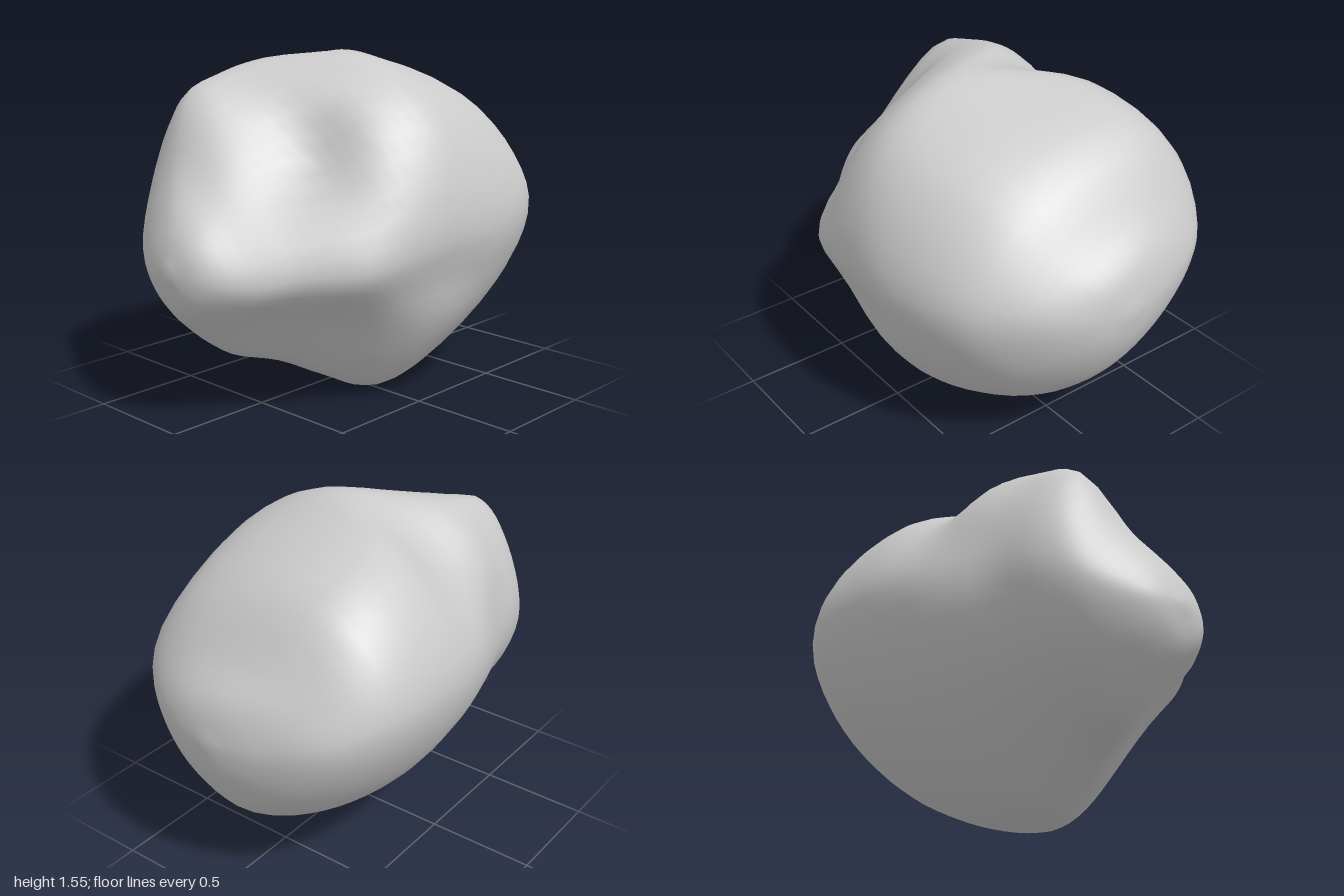
import * as THREE from 'three';
import { mergeVertices } from 'three/addons/utils/BufferGeometryUtils.js';

const AROUND = 48, ALONG = 44;

// One ring at depth z: a smooth loop through four extreme points and a shoulder
// between each pair. Fullness 0.5 is a straight diagonal, 0.7 a round shoulder.
function ring(z, right, top, left, bottom, upperRight, lowerRight) {
  const shoulder = (side, cap, fullness) => [
    cap[0] + (side[0] - cap[0]) * fullness,
    side[1] + (cap[1] - side[1]) * fullness
  ];
  const loop = [
    right, shoulder(right, top, upperRight),
    top, shoulder(left, top, 0.67),
    left, shoulder(left, bottom, 0.65),
    bottom, shoulder(right, bottom, lowerRight)
  ];
  const curve = new THREE.CatmullRomCurve3(loop.map(([x, y]) => new THREE.Vector3(x, y, z)), true);
  return Array.from({ length: AROUND }, (_, i) => curve.getPoint(i / AROUND));
}

const tip = (x, y, z) => Array.from({ length: AROUND }, () => new THREE.Vector3(x, y, z));

// rings from the back tip to the front tip
function boulderRings() {
  return [
    tip(-0.02, 0.79, -1),
    ring(-0.96, [0.2, 0.81], [-0.06, 0.97], [-0.25, 0.81], [-0.02, 0.61], 0.7, 0.7),
    ring(-0.84, [0.42, 0.84], [-0.2, 1.12], [-0.54, 0.87], [0, 0.4], 0.7, 0.68),
    ring(-0.63, [0.62, 0.85], [-0.32, 1.38], [-0.69, 0.92], [0.08, 0.21], 0.71, 0.66),
    ring(-0.25, [0.72, 0.82], [-0.28, 1.5], [-0.72, 0.91], [0.16, 0.04], 0.75, 0.65),
    ring(0.02, [0.71, 0.8], [0.06, 1.545], [-0.69, 0.92], [0.19, 0], 0.71, 0.64),
    ring(0.25, [0.68, 0.75], [-0.22, 1.51], [-0.645, 0.9], [0.14, 0.1], 0.71, 0.6),
    ring(0.45, [0.61, 0.7], [-0.26, 1.46], [-0.57, 0.87], [0.06, 0.2], 0.6, 0.54),
    ring(0.65, [0.43, 0.68], [-0.26, 1.38], [-0.51, 0.82], [-0.02, 0.26], 0.56, 0.54),
    ring(0.8, [0.3, 0.65], [-0.18, 1.09], [-0.42, 0.76], [-0.05, 0.37], 0.62, 0.6),
    ring(0.95, [0.15, 0.67], [-0.04, 0.85], [-0.21, 0.69], [-0.02, 0.52], 0.7, 0.68),
    tip(-0.02, 0.69, 1)
  ];
}

// soft hollows: centre, radii and the push at the centre
const hollows = [
  { at: [0.24, 1.08, 0.45], radii: [0.14, 0.28, 0.22], push: [-0.04, -0.01, -0.08] },
  { at: [-0.6, 1, 0.28], radii: [0.2, 0.22, 0.2], push: [0.04, 0, -0.01] },
  { at: [0.66, 0.6, 0], radii: [0.2, 0.12, 0.3], push: [-0.03, 0, 0] }
];

function pressHollows(p) {
  const start = p.toArray();
  for (const { at, radii, push } of hollows) {
    const d = start.reduce((sum, v, k) => sum + ((v - at[k]) / radii[k]) ** 2, 0);
    p.addScaledVector(new THREE.Vector3(...push), Math.exp(-d));
  }
  return p;
}

function boulderGeometry() {
  // smooth lines from tip to tip through every ring
  const rings = boulderRings();
  const positions = [], index = [];
  for (let i = 0; i < AROUND; i++) {
    const line = new THREE.CatmullRomCurve3(rings.map(points => points[i]));
    for (let j = 0; j <= ALONG; j++) positions.push(...pressHollows(line.getPoint(j / ALONG)).toArray());
  }
  const at = (i, j) => (i % AROUND) * (ALONG + 1) + j;
  for (let i = 0; i < AROUND; i++) {
    for (let j = 0; j < ALONG; j++) {
      const a = at(i, j), b = at(i + 1, j), c = at(i + 1, j + 1), d = at(i, j + 1);
      if (j > 0) index.push(a, b, c);
      if (j < ALONG - 1) index.push(a, c, d);
    }
  }
  const geometry = new THREE.BufferGeometry();
  geometry.setAttribute('position', new THREE.Float32BufferAttribute(positions, 3));
  geometry.setIndex(index);
  // weld the tips so they shade smoothly
  const welded = mergeVertices(geometry, 1e-5);
  welded.computeVertexNormals();
  return welded;
}

export function createModel() {
  const group = new THREE.Group();
  group.name = 'rock';
  const boulder = new THREE.Mesh(boulderGeometry(), new THREE.MeshStandardMaterial({ color: 0xcccccc }));
  boulder.name = 'boulder';
  group.add(boulder);
  return group;
}
